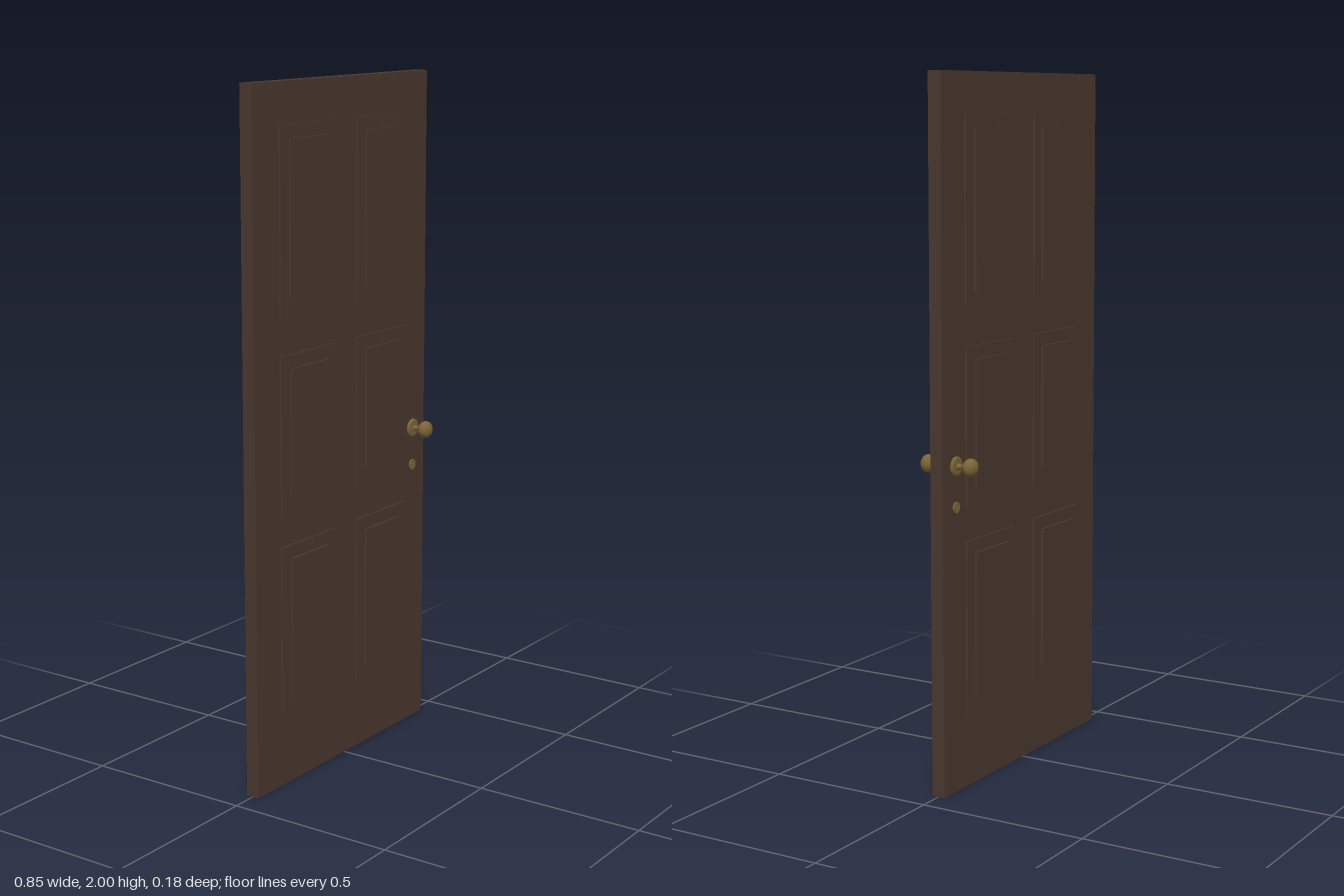
import * as THREE from 'three';

export function createModel() {
  const door = new THREE.Group();
  door.name = 'panelDoor';
  const wood = new THREE.MeshStandardMaterial({ name: 'darkWood', color: 0x4a382f });
  const brass = new THREE.MeshStandardMaterial({ name: 'agedBrass', color: 0x7a6436 });

  const add = (parent, name, geometry, material, x = 0, y = 0, z = 0) => {
    const mesh = new THREE.Mesh(geometry, material);
    mesh.name = name;
    mesh.position.set(x, y, z);
    parent.add(mesh);
    return mesh;
  };

  // Door slab
  add(door, 'slab', new THREE.BoxGeometry(0.85, 2, 0.04), wood, 0, 1, 0);

  // Six stepped panels, raised on both faces: [outer y range, inner y range]
  const rows = [
    [0.215, 0.71, 0.253, 0.672],
    [0.805, 1.255, 0.855, 1.217],
    [1.36, 1.885, 1.4, 1.847],
  ];
  for (const [y0, y1, i0, i1] of rows) {
    for (const side of [-1, 1]) {
      for (const face of [-1, 1]) {
        add(door, 'panelMoulding', new THREE.BoxGeometry(0.253, y1 - y0, 0.01), wood,
          side * 0.1835, (y0 + y1) / 2, face * 0.021);
        add(door, 'raisedPanel', new THREE.BoxGeometry(0.176, i1 - i0, 0.016), wood,
          side * 0.1835, (i0 + i1) / 2, face * 0.0255);
      }
    }
  }

  // Knob profile: turned neck and flattened ball, measured out from the door centre
  const knobCurve = new THREE.SplineCurve([
    [0.011, 0.026], [0.008, 0.031], [0.007, 0.038], [0.009, 0.045], [0.018, 0.053],
    [0.0245, 0.061], [0.026, 0.07], [0.022, 0.08], [0.012, 0.087], [0, 0.089],
  ].map(([r, h]) => new THREE.Vector2(r, h)));
  const knobPoints = knobCurve.getPoints(36);
  knobPoints.forEach((p) => { p.x = Math.max(p.x, 0); });
  knobPoints[knobPoints.length - 1].x = 0;

  const rosettePoints = [
    [0.027, 0.019], [0.028, 0.022], [0.0275, 0.025], [0.025, 0.0275], [0.021, 0.0285], [0, 0.0285],
  ].map(([r, h]) => new THREE.Vector2(r, h));

  // Round keyhole cover with a keyhole-shaped opening
  const cover = new THREE.Shape().absarc(0, 0, 0.016, 0, Math.PI * 2, false);
  const hole = new THREE.Path();
  hole.moveTo(-0.0025, -0.008);
  hole.lineTo(-0.0025, 0.001);
  hole.absarc(0, 0.004, 0.004, Math.PI * 1.28, -Math.PI * 0.28, true);
  hole.lineTo(0.0025, -0.008);
  hole.closePath();
  cover.holes.push(hole);
  const coverGeometry = new THREE.ExtrudeGeometry(cover, { depth: 0.005, bevelEnabled: false, curveSegments: 16 });

  // Matching hardware on both faces
  for (const face of [1, -1]) {
    const hardware = new THREE.Group();
    hardware.name = face > 0 ? 'frontHardware' : 'backHardware';
    hardware.position.x = 0.36;
    hardware.rotation.y = face > 0 ? 0 : Math.PI;
    door.add(hardware);
    add(hardware, 'rosette', new THREE.LatheGeometry(rosettePoints, 32), brass, 0, 0.93).rotation.x = Math.PI / 2;
    add(hardware, 'knob', new THREE.LatheGeometry(knobPoints, 32), brass, 0, 0.93).rotation.x = Math.PI / 2;
    add(hardware, 'keyholeCover', coverGeometry, brass, 0, 0.815, 0.0195);
  }
  return door;
}
